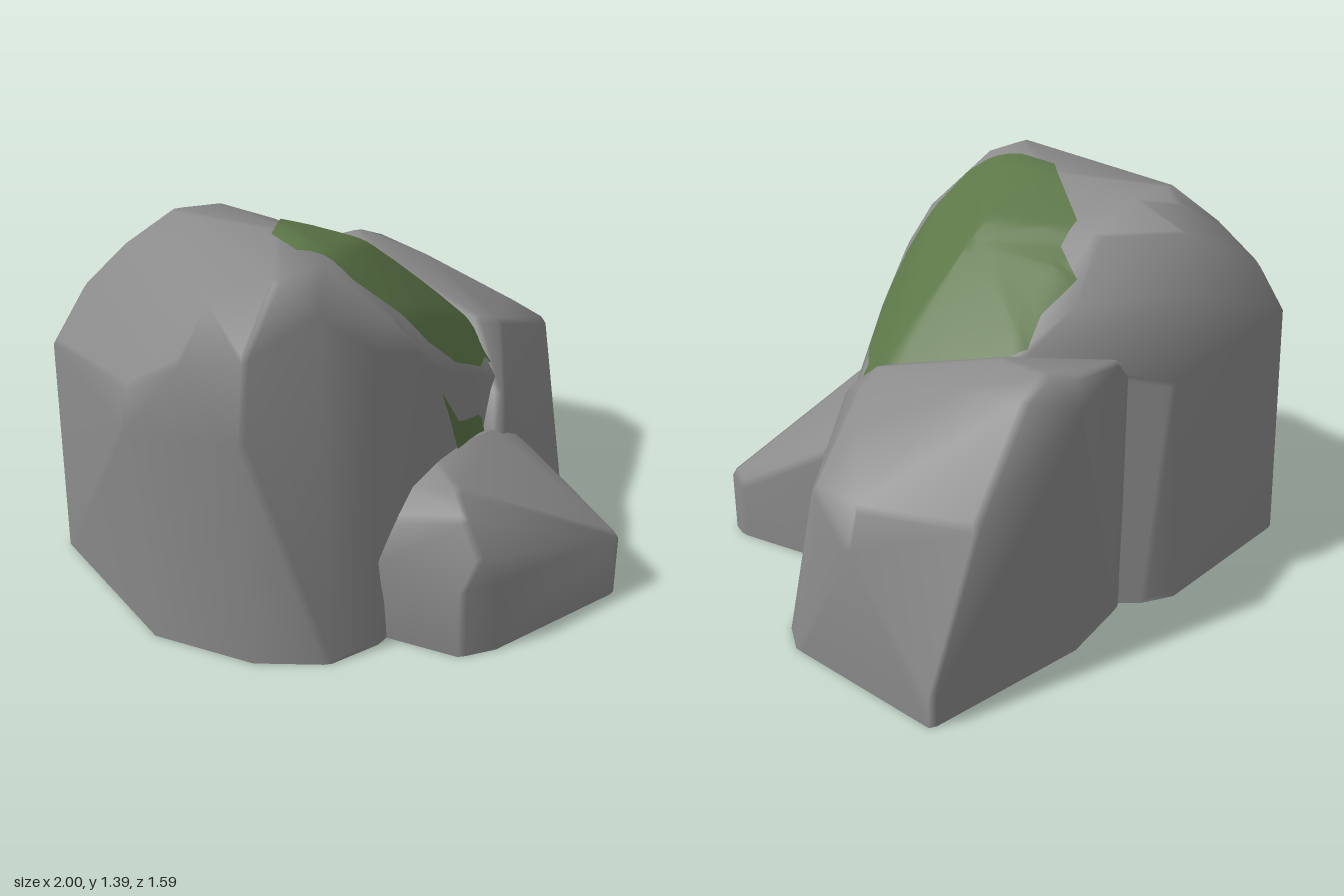
import * as THREE from 'three';
import { mergeVertices } from 'three/addons/utils/BufferGeometryUtils.js';
import { ConvexGeometry } from 'three/addons/geometries/ConvexGeometry.js';

const V = (p) => new THREE.Vector3(...p);

// Rounded convex boulder, open underneath: every corner becomes a small ball before hulling.
function boulderGeometry(corners, radius) {
  const pts = corners.map(V);
  const centre = pts.reduce((s, p) => s.add(p), new THREE.Vector3()).divideScalar(pts.length);
  const ball = mergeVertices(new THREE.IcosahedronGeometry(radius, 0).deleteAttribute('uv').deleteAttribute('normal'));
  const cloud = [];
  for (const p of pts) {
    const inward = centre.clone().sub(p).setLength(radius);
    if (p.y === 0) inward.setY(0).setLength(radius);
    const c = p.clone().addScaledVector(inward, 0.8);
    for (let i = 0; i < ball.attributes.position.count; i++) {
      const q = new THREE.Vector3().fromBufferAttribute(ball.attributes.position, i).add(c);
      q.y = Math.max(0, q.y);
      cloud.push(q);
    }
  }
  const hull = new ConvexGeometry(cloud).attributes.position;
  const kept = [];
  for (let i = 0; i < hull.count; i += 3) {
    if (Math.max(hull.getY(i), hull.getY(i + 1), hull.getY(i + 2)) < 1e-4) continue;
    for (let k = i; k < i + 3; k++) kept.push(hull.getX(k), hull.getY(k), hull.getZ(k));
  }
  let geo = new THREE.BufferGeometry();
  geo.setAttribute('position', new THREE.Float32BufferAttribute(kept, 3));
  geo = mergeVertices(geo, 1e-4);
  geo.computeVertexNormals();
  return geo;
}

// Thin moss sheet inside an outline, laid onto a rock along a direction and swelling in the middle.
function mossGeometry(rock, outline, centre, normal, rim, swell, rings = 10, steps = 5) {
  const ray = new THREE.Raycaster();
  const n = V(normal).normalize();
  const mid = V(centre);
  const down = n.clone().negate();
  const lay = (p, lift) => {
    ray.set(p.clone().addScaledVector(n, 2), down);
    const hit = ray.intersectObject(rock)[0];
    return (hit ? hit.point : p.clone()).addScaledVector(n, lift);
  };
  const edge = [];
  outline.map(V).forEach((p, i, all) => {
    for (let s = 0; s < steps; s++) edge.push(p.clone().lerp(all[(i + 1) % all.length], s / steps));
  });
  const pos = [...lay(mid, rim + swell).toArray()];
  const index = [];
  const m = edge.length;
  for (let r = 1; r <= rings; r++) {
    const t = r / rings;
    edge.forEach((e, i) => {
      pos.push(...lay(mid.clone().lerp(e, t), rim + swell * (1 - t * t)).toArray());
      const j = (i + 1) % m, a = 1 + (r - 1) * m;
      if (r === 1) index.push(0, 1 + i, 1 + j);
      else index.push(a - m + i, a + i, a + j, a - m + i, a + j, a - m + j);
    });
  }
  const geo = new THREE.BufferGeometry();
  geo.setAttribute('position', new THREE.Float32BufferAttribute(pos, 3));
  geo.setIndex(index);
  geo.computeVertexNormals();
  return geo;
}

export function createModel() {
  const group = new THREE.Group();
  const stone = new THREE.MeshStandardMaterial({ name: 'grey stone', color: 0x8b8b8b, side: THREE.DoubleSide });
  const moss = new THREE.MeshStandardMaterial({ name: 'green moss', color: 0x5d7748, side: THREE.DoubleSide });
  const add = (name, geo, mat) => {
    const mesh = new THREE.Mesh(geo, mat);
    mesh.name = name;
    group.add(mesh);
    mesh.updateMatrixWorld();
    return mesh;
  };

  // Tall boulder with a sloping right shoulder
  const tall = add('tallBoulder', boulderGeometry([
    [-0.95, 0, -0.63], [-0.88, 0, -0.69], [-0.2, 0, -0.78], [-0.1, 0, -0.74], [0.25, 0, -0.4],
    [0.35, 0, 0.25], [-0.32, 0, 0.55], [-0.52, 0, 0.56], [-0.73, 0, 0.42], [-0.95, 0, 0.08],
    [-1, 0.82, 0.05], [-0.97, 0.95, 0.02], [-0.95, 0.85, -0.62], [-0.88, 0.88, -0.68], [-0.2, 0.8, -0.75],
    [-0.76, 0.85, 0.42], [-0.73, 1.15, 0.41], [-0.87, 1.1, 0.23], [-0.76, 1.28, 0.24], [-0.7, 1.21, -0.52],
    [-0.82, 1.05, -0.61], [-0.45, 1.25, -0.57], [-0.35, 1.07, -0.68], [-0.52, 1.32, -0.48], [-0.57, 1.35, -0.4],
    [-0.4, 1.34, -0.4], [-0.57, 1.37, 0.35], [-0.4, 1.37, 0.34], [-0.5, 1.28, 0.47], [-0.36, 1.37, 0],
    [-0.2, 1.25, -0.38], [-0.2, 1.17, 0.46], [-0.3, 1.1, 0.505], [-0.1, 1.04, 0.48], [0.1, 0.87, 0.4],
    [0.4, 0.7, 0.2], [0.44, 0.8, 0], [0.39, 0.78, -0.25], [0.22, 0.92, -0.42], [0, 1.06, -0.45],
    [-0.05, 1.23, 0], [0.17, 1.02, 0],
  ], 0.03), stone);

  // Wedge-shaped boulder on the left side, its outer corner cut down towards the back
  add('wedgeBoulder', boulderGeometry([
    [0.97, 0, -0.785], [0.975, 0, -0.13], [0.9, 0, -0.01], [0.34, 0, 0.32], [0.24, 0, 0.25],
    [-0.1, 0, -0.62], [0, 0, -0.69], [0.3, 0, -0.785],
    [0.97, 0.1, -0.785], [0.74, 0.6, -0.76], [0.3, 0.89, -0.785], [1, 0.5, -0.44], [0.995, 0.5, -0.3],
    [0.95, 0.62, -0.42], [0.95, 0.62, -0.22], [0.75, 0.77, -0.2], [0.46, 0.93, -0.7], [0.52, 0.92, -0.45],
    [0.35, 0.98, -0.68], [0.27, 0.96, -0.72], [0, 0.92, -0.67], [-0.08, 0.84, -0.64], [0.32, 0.965, -0.45],
    [0.46, 0.835, 0.02], [0.56, 0.8, 0], [0.38, 0.65, 0.27], [0.33, 0.51, 0.34],
  ], 0.03), stone);

  // Low boulder in front
  add('lowBoulder', boulderGeometry([
    [-0.28, 0, 0.5], [-0.12, 0, 0.76], [0, 0, 0.79], [0.58, 0, 0.72], [0.6, 0, 0.66], [0.5, 0, 0.25],
    [-0.2, 0, 0.28], [-0.31, 0.33, 0.53], [-0.24, 0.46, 0.5], [-0.24, 0.44, 0.3], [-0.12, 0.25, 0.76],
    [0, 0.25, 0.785], [-0.05, 0.37, 0.76], [0.59, 0.22, 0.715], [0.605, 0.2, 0.65], [0.5, 0.42, 0.28], [0.44, 0.48, 0.28],
    [0.3, 0.56, 0.32], [0, 0.58, 0.38], [-0.15, 0.54, 0.48], [-0.06, 0.49, 0.68], [-0.04, 0.55, 0.6],
  ], 0.03), stone);

  // Moss cap on the shoulder
  add('mossCap', mossGeometry(tall, [
    [-0.43, 1.36, 0.2], [-0.42, 1.37, 0.03], [-0.2, 1.29, -0.28], [-0.1, 1.22, -0.3], [-0.05, 1.15, -0.42],
    [0.1, 1.05, -0.4], [0.2, 0.97, -0.43], [0.3, 0.9, -0.36], [0.4, 0.83, -0.2], [0.44, 0.81, 0],
    [0.41, 0.7, 0.16], [0.36, 0.75, 0.17], [0.3, 0.8, 0.26], [0.1, 0.91, 0.38], [-0.05, 1.03, 0.42],
    [-0.2, 1.17, 0.4], [-0.31, 1.29, 0.36],
  ], [0.02, 1.15, 0], [0.56, 0.83, 0], 0.01, 0.025), moss);

  // Moss sliver in the crevice
  add('mossSliver', mossGeometry(tall, [
    [0, 0.855, 0.43], [0.06, 0.71, 0.42], [0.12, 0.55, 0.4], [0.31, 0.53, 0.3], [0.28, 0.61, 0.3], [0.25, 0.64, 0.32], [0.11, 0.69, 0.4],
  ], [0.13, 0.64, 0.38], [0, 0, 1], 0.007, 0, 4, 3), moss);

  return group;
}
